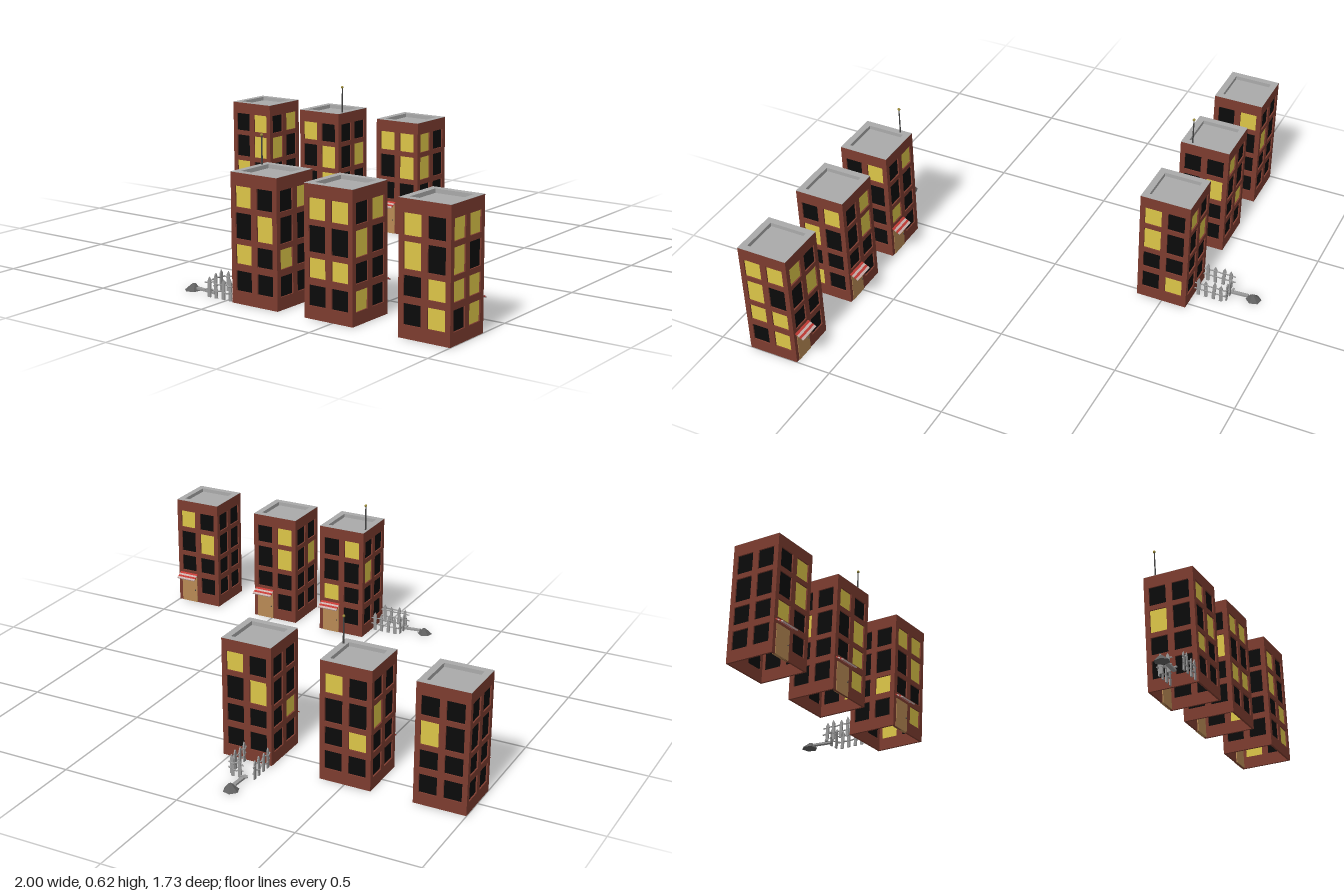
import * as THREE from 'three';

const W = 0.215, H = 0.5, WALL = 0.008;
const COLS = [-0.05, 0.05], PANE_W = 0.073;
const ROWS = [[0.37, 0.45], [0.25, 0.349], [0.154, 0.229], [0.05, 0.128]];

const mat = (color, side = THREE.FrontSide) =>
  new THREE.MeshStandardMaterial({ color, flatShading: true, side });
const M = {
  brick: mat(0x7d3c2f, THREE.DoubleSide),
  lit: mat(0xdcc548, THREE.DoubleSide),
  dark: mat(0x0b0b0b, THREE.DoubleSide),
  door: mat(0xb98a55),
  roof: mat(0xaaaaaa, THREE.DoubleSide),
  red: mat(0xc23a34),
  pale: mat(0xc9b0ac),
  metal: mat(0x444444),
  brass: mat(0x9a8a3a),
  fence: mat(0x999999),
  rubble: mat(0x606060),
};

function add(parent, name, geo, material, x = 0, y = 0, z = 0) {
  const m = new THREE.Mesh(geo, material);
  m.name = name;
  m.position.set(x, y, z);
  parent.add(m);
  return m;
}
const box = (w, h, d) => new THREE.BoxGeometry(w, h, d);

function rectPath(x0, y0, x1, y1, Type = THREE.Path) {
  const p = new Type();
  p.moveTo(x0, y0).lineTo(x1, y0).lineTo(x1, y1).lineTo(x0, y1).closePath();
  return p;
}

// One wall with window openings; lights lists the panes row by row, 1 = lit, d = door
function makeWall(lights) {
  const wall = new THREE.Group();
  const shape = rectPath(-W / 2, 0, W / 2, H, THREE.Shape);
  [...lights].forEach((c, i) => {
    const x = COLS[i % 2], [y0, y1] = ROWS[i >> 1];
    if (c === 'd') {
      add(wall, 'door', box(0.08, 0.125, 0.014), M.door, x, 0.0625, W / 2 - 0.005);
      add(wall, 'doorKnob', new THREE.SphereGeometry(0.003, 6, 4), M.metal, x + 0.031, 0.06, W / 2 + 0.004);
      return;
    }
    shape.holes.push(rectPath(x - PANE_W / 2, y0, x + PANE_W / 2, y1));
    add(wall, 'windowPane', new THREE.PlaneGeometry(PANE_W + 0.004, y1 - y0 + 0.004),
      c === '1' ? M.lit : M.dark, x, (y0 + y1) / 2, W / 2 - 0.006);
  });
  add(wall, 'brickWall', new THREE.ExtrudeGeometry(shape, { depth: WALL, bevelEnabled: false }),
    M.brick, 0, 0, W / 2 - WALL);
  return wall;
}

// Sloping striped awning over the door
function makeAwning() {
  const awning = new THREE.Group();
  awning.name = 'awning';
  for (let i = 0; i < 4; i++) {
    add(awning, 'awningStripe', box(0.092, 0.005, 0.0105), i % 2 ? M.pale : M.red, 0, 0, 0.005 + i * 0.0102);
  }
  awning.position.set(-0.052, 0.14, W / 2);
  awning.rotation.x = 0.5;
  return awning;
}

// Walls are ordered front, left (+x), back, right (-x)
function makeBuilding({ x, z, turn = 0, walls, antenna, yard }) {
  const b = new THREE.Group();
  b.name = 'building';
  walls.forEach((lights, i) => {
    const wall = makeWall(lights);
    wall.name = ['frontWall', 'leftWall', 'backWall', 'rightWall'][i];
    wall.rotation.y = i * Math.PI / 2;
    b.add(wall);
  });

  // Roof: flat rim around a sunken deck
  const rim = rectPath(-W / 2, -W / 2, W / 2, W / 2, THREE.Shape);
  rim.holes.push(rectPath(-0.08, -0.08, 0.08, 0.08));
  add(b, 'roofRim', new THREE.ExtrudeGeometry(rim, { depth: 0.018, bevelEnabled: false })
    .scale(0.999, 0.999, 1).rotateX(-Math.PI / 2), M.roof, 0, H - 0.017, 0);
  add(b, 'roofDeck', box(0.2, 0.004, 0.2), M.roof, 0, H - 0.017, 0);

  b.add(makeAwning());
  if (antenna) {
    add(b, 'antennaMast', new THREE.CylinderGeometry(0.0025, 0.0035, 0.125, 6), M.metal, 0.094, H + 0.052, 0.06);
    add(b, 'antennaTip', new THREE.IcosahedronGeometry(0.006, 1), M.brass, 0.094, H + 0.114, 0.06);
  }
  if (yard !== undefined) {
    const y = makeYard();
    y.rotation.y = yard - turn;
    b.add(y);
  }
  b.position.set(x, 0, z);
  b.rotation.y = turn;
  return b;
}

// Run of pointed pickets tied together by two sagging wires
function makeFence(x0, z0, x1, z1, count) {
  const fence = new THREE.Group();
  fence.name = 'fence';
  const a = new THREE.Vector3(x0, 0, z0), d = new THREE.Vector3(x1 - x0, 0, z1 - z0);
  const angle = Math.atan2(-d.z, d.x);
  const profile = new THREE.Shape();
  profile.moveTo(-0.007, 0).lineTo(0.007, 0).lineTo(0.007, 0.072).lineTo(0, 0.086).lineTo(-0.007, 0.072).closePath();
  const picket = new THREE.ExtrudeGeometry(profile, { depth: 0.005, bevelEnabled: false }).translate(0, 0, -0.0025);
  for (let i = 0; i < count; i++) {
    const p = a.clone().addScaledVector(d, (i + 0.5) / count);
    const m = add(fence, 'picket', picket, M.fence, p.x, 0, p.z);
    m.rotation.set(0, angle, 0.05 * Math.sin(i * 2.3));
    m.scale.y = 1 - 0.08 * (i % 2);
  }
  for (const y of [0.03, 0.058]) {
    const pts = [];
    for (let i = 0; i <= count * 2; i++) {
      const p = a.clone().addScaledVector(d, i / (count * 2));
      const w = 0.003 * Math.sin(i * 1.9 + y * 50);
      pts.push(p.add(new THREE.Vector3(w, y + w, w)));
    }
    add(fence, 'fenceWire', new THREE.TubeGeometry(new THREE.CatmullRomCurve3(pts), count * 6, 0.003, 5), M.fence);
  }
  return fence;
}

// Fenced yard with a broken side, a fallen post and a heap of rubble
function makeYard() {
  const yard = new THREE.Group();
  yard.name = 'yard';
  yard.add(
    makeFence(-0.1, -W / 2, -0.1, -0.245, 4),
    makeFence(0.005, -W / 2, 0.005, -0.24, 4),
    makeFence(0.005, -0.242, -0.062, -0.245, 2),
  );
  const post = add(yard, 'fallenPost', box(0.016, 0.008, 0.09), M.fence, -0.062, 0.009, -0.275);
  post.rotation.x = 0.06;
  const cross = add(yard, 'fallenCrossbar', box(0.03, 0.006, 0.008), M.fence, -0.066, 0.012, -0.25);
  cross.rotation.y = 0.1;
  const heap = new THREE.CylinderGeometry(0.008, 0.033, 0.025, 6).rotateY(0.3);
  heap.applyMatrix4(new THREE.Matrix4().makeShear(0, 0, 0.2, 0.1, 0, 0));
  add(yard, 'rubbleHeap', heap, M.rubble, -0.06, 0.0125, -0.342);
  return yard;
}

export function createModel() {
  const city = new THREE.Group();
  city.name = 'cityBlock';
  const back = -0.4975, front = 0.755, half = Math.PI;
  const buildings = [
    { x: -0.892, z: back, walls: ['010110d0', '01100000', '00100000', '00000000'] },
    { x: -0.502, z: back, antenna: true, walls: ['100101d1', '00010010', '10000100', '00100000'] },
    { x: -0.08, z: back, yard: 0, walls: ['110100d1', '10100001', '10010000', '00000100'] },
    { x: 0.143, z: front, turn: half, antenna: true, yard: half / 2,
      walls: ['010010d0', '00100000', '10011000', '01001000'] },
    { x: 0.483, z: front, turn: half, walls: ['010100d0', '00010000', '11001100', '01100010'] },
    { x: 0.8925, z: front, turn: half, walls: ['100100d0', '00000000', '10100101', '11101101'] },
  ];
  buildings.forEach((b) => city.add(makeBuilding(b)));
  return city;
}
